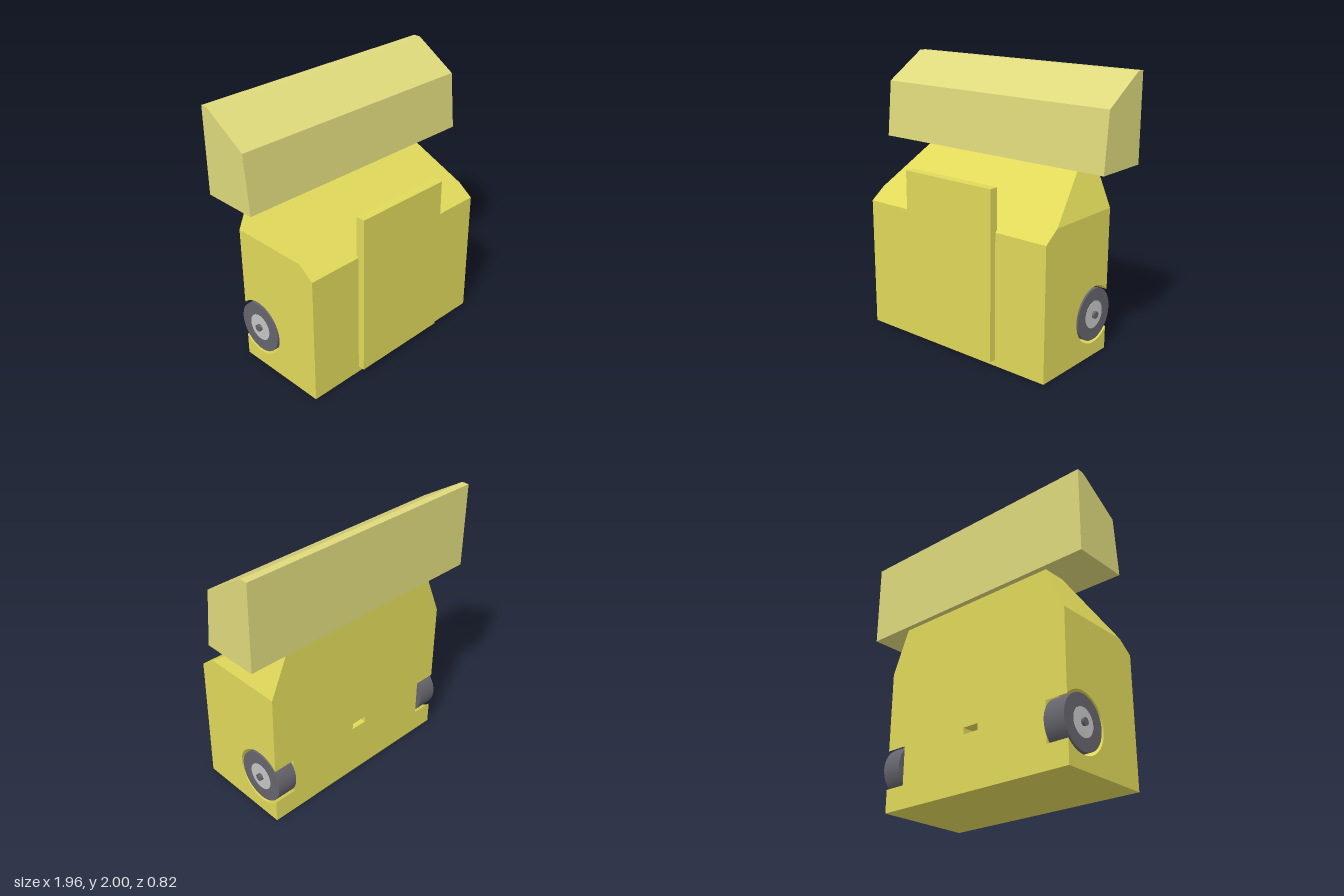
import * as THREE from 'three';
import { ConvexGeometry } from 'three/addons/geometries/ConvexGeometry.js';

const mat = (name, color) => Object.assign(new THREE.MeshStandardMaterial({ color }), { name });

export function createModel() {
  const yellow = mat('bodyYellow', 0xe0d95a);
  const paleYellow = mat('lidYellow', 0xded97c);
  const darkGrey = mat('tyreGrey', 0x66656d);
  const lightGrey = mat('hubGrey', 0xc6c6c6);

  const model = new THREE.Group();
  model.name = 'wheeledBin';
  const add = (name, geometry, material, parent = model) => {
    const mesh = new THREE.Mesh(geometry, material);
    mesh.name = name;
    parent.add(mesh);
    return mesh;
  };
  const block = (x0, x1, y0, y1, z0, z1) =>
    new THREE.BoxGeometry(x1 - x0, y1 - y0, z1 - z0)
      .translate((x0 + x1) / 2, (y0 + y1) / 2, (z0 + z1) / 2);
  // Side profile drawn in (-z, y), extruded from x0 to x1
  const alongX = (shape, x0, x1) =>
    new THREE.ExtrudeGeometry(shape, { depth: x1 - x0, bevelEnabled: false, curveSegments: 48 })
      .rotateY(Math.PI / 2).translate(x0, 0, 0);

  const W = 0.8, INNER = 0.635, SPLIT = 0.6, FRONT = 0.36, BACK = -0.37;
  const wheelY = 0.31, wheelZ = -0.215, archR = 0.21;

  // Upper body: sloping front and chamfered shoulders
  const points = [];
  for (const s of [-1, 1]) {
    for (const [x, y, z] of [
      [W, SPLIT, FRONT], [W, SPLIT, BACK], [W, 0.965, FRONT], [W, 1.05, 0.244],
      [W, 1.05, BACK], [0.66, 1.376, -0.2], [0.66, 1.376, BACK],
    ]) points.push(new THREE.Vector3(s * x, y, z));
  }
  add('upperBody', new ConvexGeometry(points), yellow);

  // Lower body core, with a small slot in the back wall
  const slotDepth = 0.1;
  add('lowerBody', block(-INNER, INNER, 0, SPLIT, BACK + slotDepth, FRONT), yellow);
  const wall = new THREE.Shape([
    new THREE.Vector2(-INNER, 0), new THREE.Vector2(INNER, 0),
    new THREE.Vector2(INNER, SPLIT), new THREE.Vector2(-INNER, SPLIT),
  ]);
  wall.holes.push(new THREE.Path([
    new THREE.Vector2(-0.063, 0.4), new THREE.Vector2(-0.063, 0.447),
    new THREE.Vector2(0.063, 0.447), new THREE.Vector2(0.063, 0.4),
  ]));
  add('slottedBackWall', new THREE.ExtrudeGeometry(wall, { depth: slotDepth, bevelEnabled: false })
    .translate(0, 0, BACK), yellow);

  // Side blocks with round wheel wells open to the back
  const a = Math.acos((wheelZ - BACK) / archR);
  const side = new THREE.Shape();
  side.moveTo(-FRONT, 0);
  side.lineTo(-BACK, 0);
  side.absarc(-wheelZ, wheelY, archR, -a, a, true);
  side.lineTo(-BACK, SPLIT);
  side.lineTo(-FRONT, SPLIT);
  add('leftWheelWell', alongX(side, INNER, W), yellow);
  add('rightWheelWell', alongX(side, -W, -INNER), yellow);

  // Front panel
  add('frontPanel', block(-0.385, 0.385, 0.045, 1.27, 0.342, 0.41), yellow);

  // Lid
  const lid = new THREE.Shape([
    [-0.01, 1.375], [0.41, 1.375], [0.41, 2], [0.355, 2], [0.03, 1.795],
  ].map(([u, v]) => new THREE.Vector2(u, v)));
  add('lid', alongX(lid, -0.98, 0.98), paleYellow);

  // Wheels: tyre, hub disc and protruding axle
  const disc = (r, x0, x1) => new THREE.CylinderGeometry(r, r, x1 - x0, 48)
    .rotateZ(-Math.PI / 2).translate((x0 + x1) / 2, 0, 0);
  for (const s of [1, -1]) {
    const wheel = new THREE.Group();
    wheel.name = s > 0 ? 'leftWheel' : 'rightWheel';
    wheel.position.set(0, wheelY, wheelZ);
    if (s < 0) wheel.rotation.y = Math.PI;
    add('tyre', disc(0.19, 0.645, 0.8), darkGrey, wheel);
    add('hub', disc(0.1, 0.795, 0.802), lightGrey, wheel);
    add('axle', disc(0.026, 0.6, 0.822), darkGrey, wheel);
    model.add(wheel);
  }
  return model;
}
